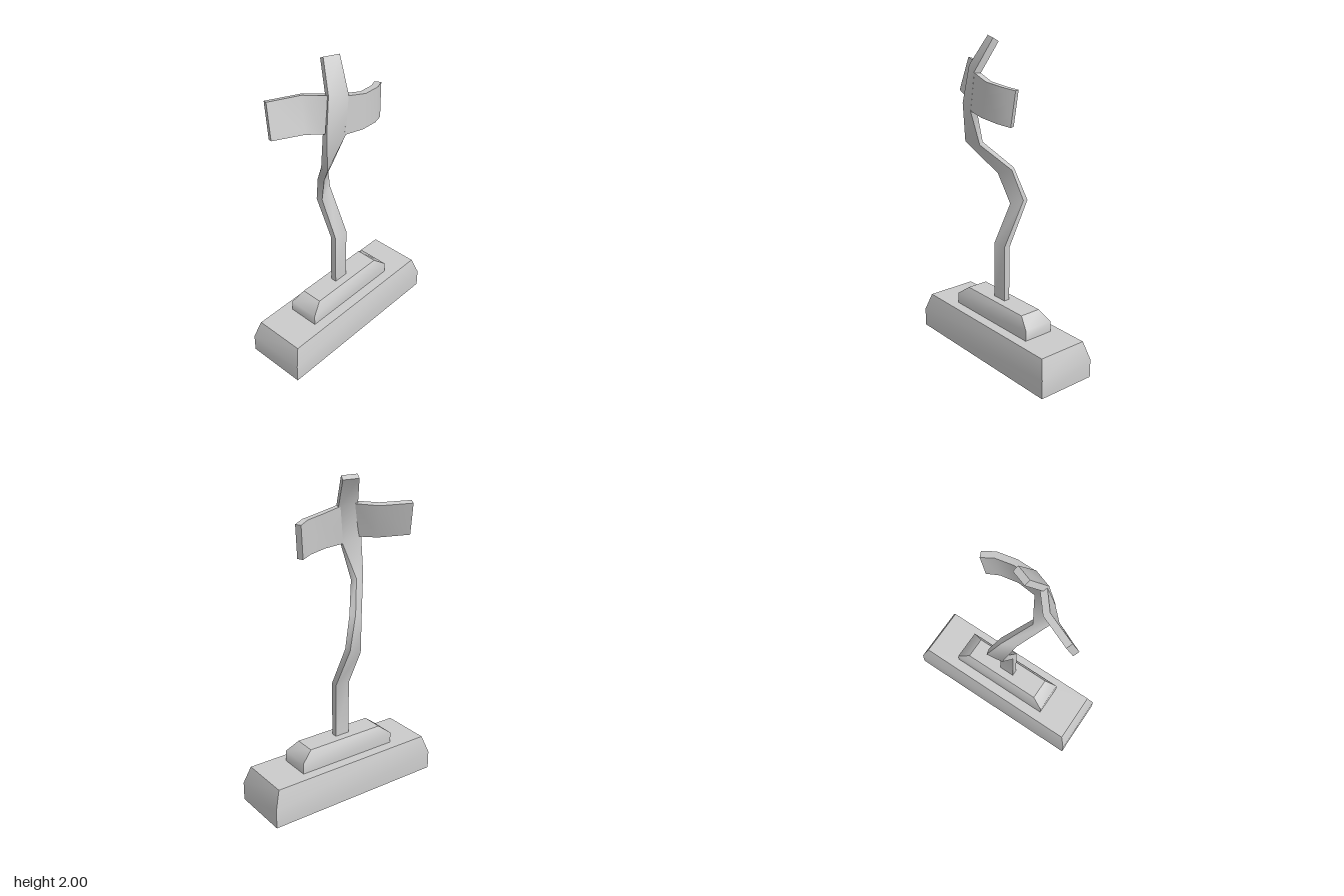
import * as THREE from 'three';

const material = new THREE.MeshStandardMaterial({ color: 0xcccccc });

// Skin four-cornered rings: each long side is smooth along its length, corners and caps stay sharp
function loft(name, rings) {
  const pos = [], index = [];
  for (let k = 0; k < 4; k++) {
    const start = pos.length / 3;
    rings.forEach((r, i) => {
      pos.push(...r[k].toArray(), ...r[(k + 1) % 4].toArray());
      if (i) {
        const a = start + 2 * (i - 1);
        index.push(a, a + 1, a + 3, a, a + 3, a + 2);
      }
    });
  }
  for (const cap of [[...rings[0]].reverse(), rings[rings.length - 1]]) {
    const s = pos.length / 3;
    cap.forEach(p => pos.push(...p.toArray()));
    index.push(s, s + 1, s + 2, s, s + 2, s + 3);
  }
  const geo = new THREE.BufferGeometry();
  geo.setAttribute('position', new THREE.Float32BufferAttribute(pos, 3));
  geo.setIndex(index);
  geo.computeVertexNormals();
  const mesh = new THREE.Mesh(geo, material);
  mesh.name = name;
  return mesh;
}

// Block with a bevelled top, from levels of [y, half width, half depth]
function block(name, levels) {
  return loft(name, levels.map(([y, x, z]) =>
    [[-x, z], [x, z], [x, -z], [-x, -z]].map(([a, b]) => new THREE.Vector3(a, y, b))));
}

// Bent flat bar, from pairs of opposite edge points along its path
function bar(name, pairs, thickness = 0.04) {
  const edges = pairs.map(pair => pair.map(p => new THREE.Vector3(...p)));
  const mids = edges.map(([a, b]) => a.clone().add(b).multiplyScalar(0.5));
  const last = mids.length - 1;
  return loft(name, edges.map(([a, b], i) => {
    const before = mids[i].clone().sub(mids[Math.max(i - 1, 0)]).normalize();
    const after = mids[Math.min(i + 1, last)].clone().sub(mids[i]).normalize();
    const n = b.clone().sub(a).cross(before.add(after)).setLength(thickness / 2);
    return [a.clone().add(n), b.clone().add(n), b.clone().sub(n), a.clone().sub(n)];
  }));
}

export function createModel() {
  const model = new THREE.Group();
  model.name = 'bentCrossOnPlinth';

  // Two-step plinth
  model.add(block('lowerPlinth', [[0, 0.6, 0.195], [0.12, 0.6, 0.195], [0.235, 0.56, 0.165]]));
  model.add(block('upperPlinth', [[0.23, 0.342, 0.1], [0.305, 0.342, 0.1], [0.365, 0.265, 0.07]]));

  // Twisting stem up to the tip
  model.add(bar('stem', [
    [[-0.06, 0.35, 0], [0.04, 0.35, 0]],
    [[-0.06, 0.72, 0], [0.04, 0.72, 0]],
    [[-0.055, 0.96, -0.12], [0.043, 1.0, -0.145]],
    [[-0.105, 1.165, -0.055], [-0.025, 1.195, -0.1]],
    [[-0.23, 1.37, 0.095], [-0.145, 1.355, 0.05]],
    [[-0.228, 1.6, 0.1], [-0.11, 1.57, 0.13]],
    [[-0.188, 1.82, 0.08], [-0.078, 1.8, 0.125]],
    [[-0.128, 1.99, -0.012], [-0.035, 1.985, 0.022]],
  ]));

  // Arm swept backwards
  model.add(bar('rightArm', [
    [[-0.222, 1.608, 0.098], [-0.175, 1.818, 0.075]],
    [[-0.3, 1.608, 0.02], [-0.265, 1.815, -0.035]],
    [[-0.48, 1.615, -0.063], [-0.453, 1.82, -0.115]],
  ]));

  // Arm curling gently round
  model.add(bar('leftArm', [
    [[-0.12, 1.572, 0.128], [-0.085, 1.8, 0.122]],
    [[0.01, 1.556, 0.147], [0.04, 1.767, 0.137]],
    [[0.13, 1.54, 0.132], [0.155, 1.752, 0.12]],
    [[0.207, 1.527, 0.1], [0.228, 1.738, 0.083]],
  ]));

  return model;
}
